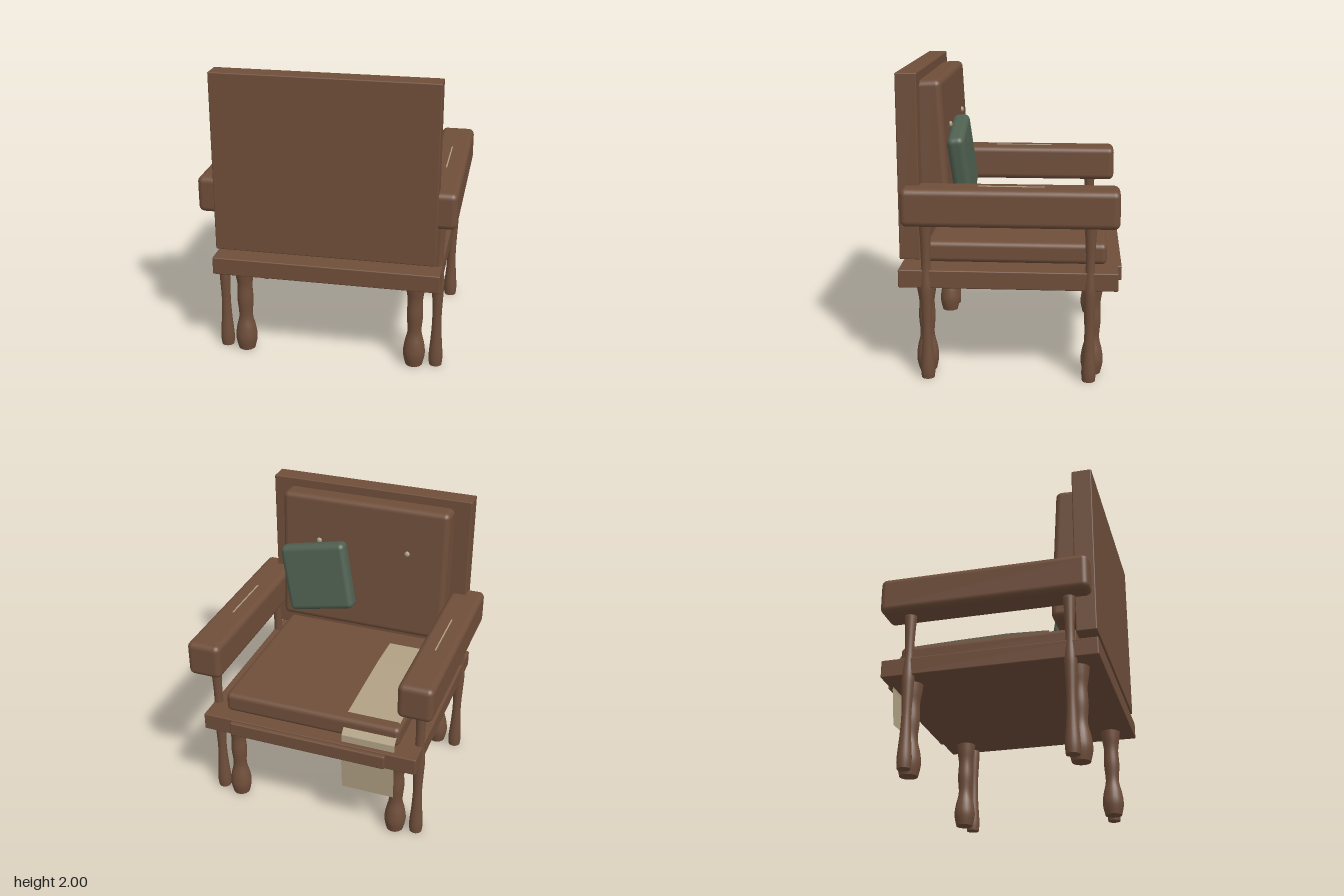
import * as THREE from 'three';
import { RoundedBoxGeometry } from 'three/addons/geometries/RoundedBoxGeometry.js';

const mat = (name, color, side = THREE.FrontSide) => {
  const m = new THREE.MeshStandardMaterial({ color, side });
  m.name = name;
  return m;
};

export function createModel() {
  const chair = new THREE.Group();
  chair.name = 'armchair';
  const brown = mat('brown', 0x6f4e3a);
  const green = mat('green', 0x4f6050);
  const tan = mat('tan', 0xb0a084, THREE.DoubleSide);

  const add = (name, geometry, material, x = 0, y = 0, z = 0) => {
    const mesh = new THREE.Mesh(geometry, material);
    mesh.name = name;
    mesh.position.set(x, y, z);
    chair.add(mesh);
    return mesh;
  };
  // Rounded block given by its extents
  const block = (name, material, [x0, x1], [y0, y1], [z0, z1], r) =>
    add(name, new RoundedBoxGeometry(x1 - x0, y1 - y0, z1 - z0, 4, r), material,
      (x0 + x1) / 2, (y0 + y1) / 2, (z0 + z1) / 2);
  // Turned leg from [radius, height] points
  const turned = (points) => {
    const curve = new THREE.SplineCurve(points.map(([r, y]) => new THREE.Vector2(r, y)));
    const top = points[points.length - 1][1];
    return new THREE.LatheGeometry(
      [new THREE.Vector2(0, 0), new THREE.Vector2(points[0][0], 0),
        ...curve.getPoints(32), new THREE.Vector2(0, top)], 24);
  };

  // Frame
  block('seatFrame', brown, [-0.755, 0.755], [0.62, 0.74], [-0.695, 0.72], 0.008);
  block('frontRail', brown, [-0.55, 0.55], [0.63, 0.73], [-0.722, -0.66], 0.01);
  block('backPanel', brown, [-0.727, 0.727], [0.803, 2], [0.575, 0.71], 0.008);

  // Upholstery
  block('seatCushion', brown, [-0.618, 0.618], [0.752, 0.893], [-0.622, 0.56], 0.035);
  block('backCushion', brown, [-0.61, 0.61], [0.98, 1.94], [0.415, 0.615], 0.04)
    .rotation.x = 0.052;

  // Loose pillow leaning on the back
  const pillow = add('pillow', new RoundedBoxGeometry(0.49, 0.49, 0.115, 4, 0.04), green, 0.307, 1.375, 0.34);
  pillow.rotation.set(0.11, 0, -0.2);

  // Arms with top seams, and both sets of legs
  const postGeometry = turned([[0.043, 0], [0.047, 0.07], [0.036, 0.22], [0.031, 0.36],
    [0.037, 0.52], [0.04, 0.62], [0.03, 0.76], [0.032, 0.9], [0.041, 1.06]]);
  const legGeometry = turned([[0.058, 0], [0.074, 0.08], [0.066, 0.16], [0.047, 0.25],
    [0.055, 0.37], [0.051, 0.48], [0.062, 0.56], [0.07, 0.63]]);
  for (const s of [-1, 1]) {
    const side = s > 0 ? 'left' : 'right';
    block(side + 'Arm', brown, [s * 0.728 - 0.117, s * 0.728 + 0.117], [1.045, 1.29], [-0.695, 0.685], 0.04);
    add(side + 'ArmSeam', new THREE.BoxGeometry(0.008, 0.008, 0.42), tan, s * 0.725, 1.291, -0.012);
    for (const [end, f] of [['Front', -1], ['Back', 1]]) {
      add(side + end + 'Post', postGeometry, brown, s * 0.73, 0, 0.0125 + f * 0.527);
      add(side + end + 'Leg', legGeometry, brown, s * 0.585, 0, 0.0125 + f * 0.548);
    }
    // Button on the back cushion
    add(side + 'Button', new THREE.SphereGeometry(0.019, 16, 12), tan, s * 0.327, 1.62, 0.418)
      .scale.z = 0.7;
  }

  // Throw cloth: a strip swept along [z, y] points over the seat and down the front
  const path = [[0.375, 0.899], [0.1, 0.91], [-0.2, 0.904], [-0.535, 0.893], [-0.59, 0.86],
    [-0.623, 0.828], [-0.66, 0.79], [-0.668, 0.6], [-0.65, 0.355]];
  const cloth = new THREE.PlaneGeometry(0.365, 1, 1, path.length - 1);
  const p = cloth.attributes.position;
  for (let i = 0; i < p.count; i++) {
    const [z, y] = path[Math.floor(i / 2)];
    p.setXYZ(i, p.getX(i) - 0.4175, y, z);
  }
  const flatCloth = cloth.toNonIndexed();
  flatCloth.computeVertexNormals();
  add('throwCloth', flatCloth, tan);

  return chair;
}
